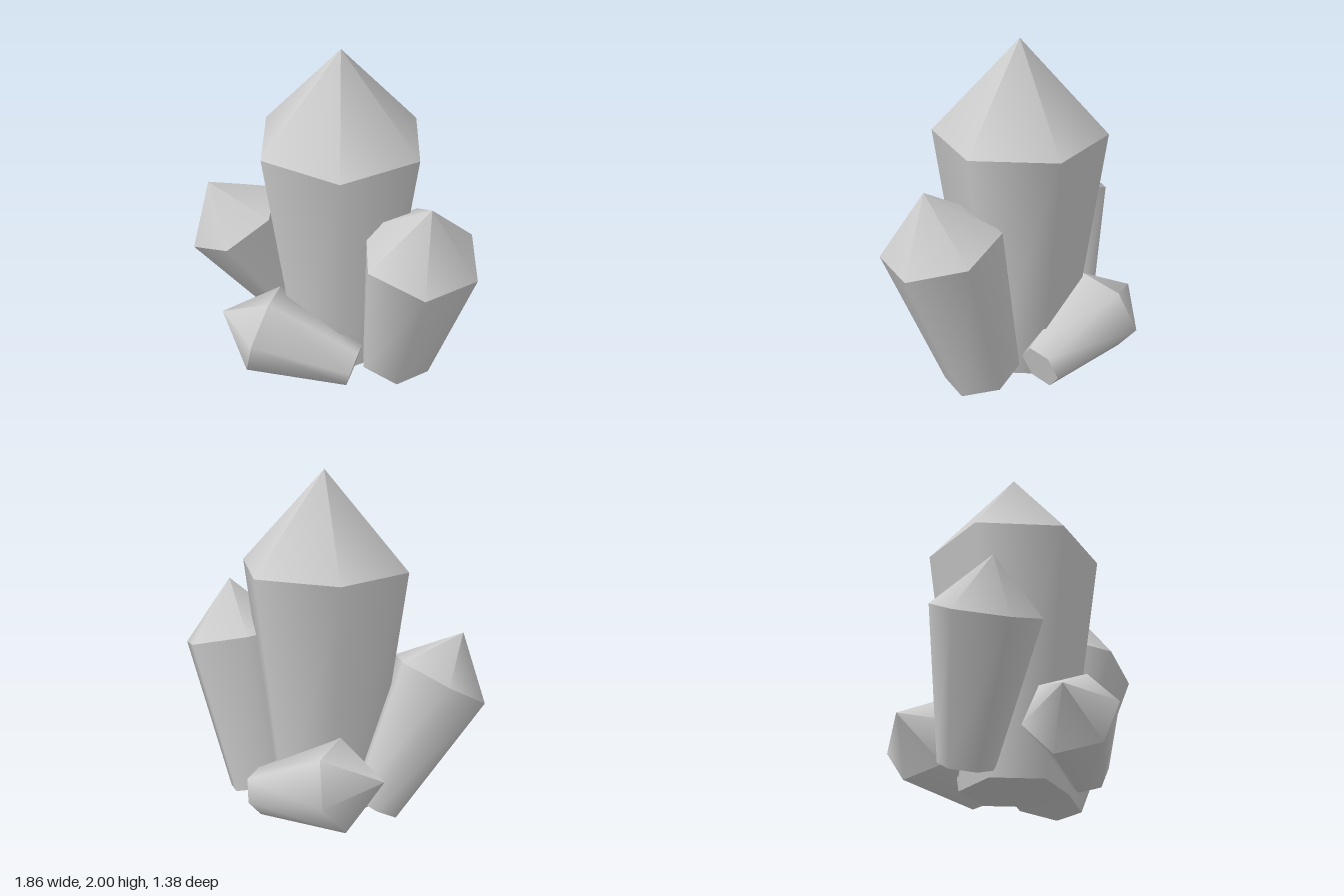
import * as THREE from 'three';

const material = new THREE.MeshStandardMaterial({ color: 0xcccccc });

// Six-sided tapered shaft with a pointed tip.
// base, shoulder: centres of the two ends; corner: direction from the axis to one edge.
function crystal(name, { base, shoulder, baseRadius, radius, tip, corner }) {
  const start = new THREE.Vector3(...base);
  const axis = new THREE.Vector3(...shoulder).sub(start);
  const length = axis.length();
  axis.normalize();

  const shaft = new THREE.Mesh(new THREE.CylinderGeometry(radius, baseRadius, length, 6), material);
  shaft.name = name + 'Shaft';
  shaft.position.y = length / 2;

  const point = new THREE.Mesh(new THREE.ConeGeometry(radius, tip, 6, 1, true), material);
  point.name = name + 'Tip';
  point.position.y = length + tip / 2;

  // Orient: local y along the axis, local z towards the chosen corner
  const z = new THREE.Vector3(...corner);
  z.addScaledVector(axis, -z.dot(axis)).normalize();
  const x = new THREE.Vector3().crossVectors(axis, z);

  const group = new THREE.Group();
  group.name = name;
  group.add(shaft, point);
  group.quaternion.setFromRotationMatrix(new THREE.Matrix4().makeBasis(x, axis, z));
  group.position.copy(start);
  return group;
}

export function createModel() {
  const model = new THREE.Group();
  model.name = 'crystalCluster';
  model.add(
    // Tall upright centre
    crystal('mainCrystal', {
      base: [0, 0.015, -0.015], shoulder: [0, 1.45, -0.015],
      baseRadius: 0.3, radius: 0.5, tip: 0.55, corner: [1, 0, 0],
    }),
    // Leaning side crystals
    crystal('leftCrystal', {
      base: [0.385, 0.065, -0.01], shoulder: [0.59, 0.95, 0.11],
      baseRadius: 0.225, radius: 0.35, tip: 0.345, corner: [0.34, -0.08, -0.02],
    }),
    crystal('rightCrystal', {
      base: [-0.345, 0.078, -0.13], shoulder: [-0.65, 0.8, 0.135],
      baseRadius: 0.155, radius: 0.305, tip: 0.3, corner: [-0.28, -0.1, -0.055],
    }),
    // Small crystals lying low at front and back
    crystal('frontCrystal', {
      base: [0.28, 0.163, 0.3], shoulder: [-0.26, 0.315, 0.44],
      baseRadius: 0.13, radius: 0.265, tip: 0.265, corner: [0.06, 0.055, 0.245],
    }),
    crystal('backCrystal', {
      base: [0.28, 0.16, -0.345], shoulder: [-0.26, 0.31, -0.43],
      baseRadius: 0.135, radius: 0.265, tip: 0.265, corner: [0.034, -0.045, -0.26],
    }),
  );
  return model;
}
